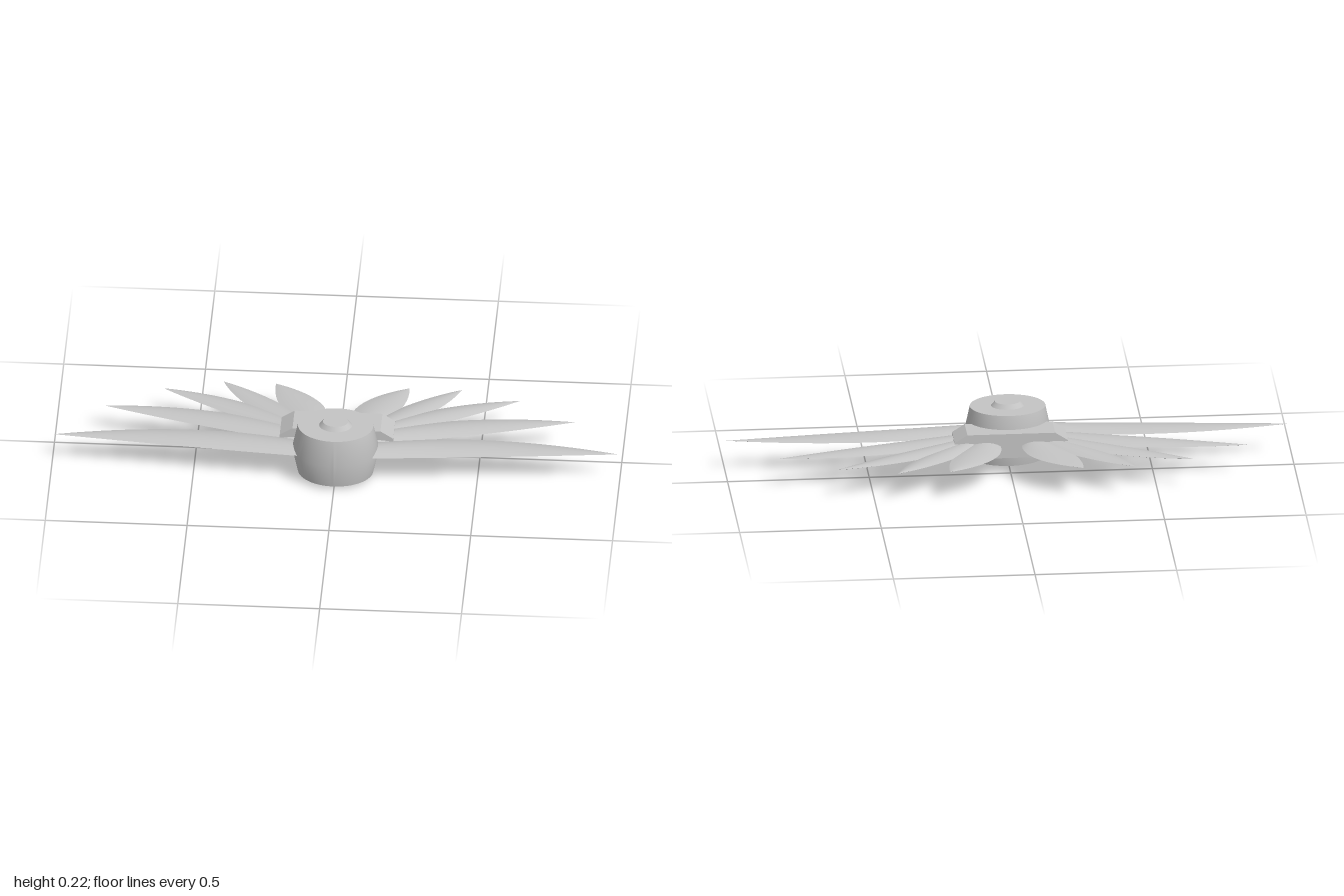
import * as THREE from 'three';

const MID_Y = 0.11;
const HUB_Z = 0.135;

// One feather: root and middle points of its inner and outer edges, and the tip, as [x, z]
const FEATHERS = [
  { inner: [[0.1, 0.1], [0.53, 0.055]], outer: [[0.1, 0.2], [0.55, 0.161]], tip: [0.995, 0.115] },
  { inner: [[0.1, 0.03], [0.45, -0.068]], outer: [[0.12, 0.115], [0.5, 0.021]], tip: [0.83, -0.08] },
  { inner: [[0.08, 0.02], [0.34, -0.13]], outer: [[0.12, 0.08], [0.41, -0.068]], tip: [0.628, -0.203] },
  { inner: [[0.08, 0.01], [0.23, -0.145]], outer: [[0.12, 0.06], [0.315, -0.1]], tip: [0.42, -0.26] },
  { inner: [[0.04, 0], [0.075, -0.15]], outer: [[0.12, 0.04], [0.213, -0.12]], tip: [0.235, -0.258] },
];

// Quadratic curve passing through its middle point
function edgeCurve([root, mid], tip) {
  const a = new THREE.Vector2(...root);
  const b = new THREE.Vector2(...tip);
  const c = new THREE.Vector2(...mid).multiplyScalar(2).addScaledVector(a, -0.5).addScaledVector(b, -0.5);
  return new THREE.QuadraticBezierCurve(a, c, b);
}

// One domed face of a feather; side is 1 for the top and -1 for the underside
function featherFace(feather, side) {
  const inner = edgeCurve(feather.inner, feather.tip);
  const outer = edgeCurve(feather.outer, feather.tip);
  const geo = new THREE.PlaneGeometry(1, 1, 24, 8);
  const pos = geo.attributes.position;
  for (let i = 0; i < pos.count; i++) {
    const t = pos.getX(i) + 0.5;
    const u = 0.5 - pos.getY(i) * side;
    const p = inner.getPoint(t).lerp(outer.getPoint(t), u);
    const dome = 0.016 * Math.pow(Math.max(0, 1 - t), 0.7) * 4 * u * (1 - u);
    pos.setXYZ(i, p.x, MID_Y + side * dome, p.y);
  }
  geo.computeVertexNormals();
  return geo;
}

export function createModel() {
  const model = new THREE.Group();
  const grey = new THREE.MeshStandardMaterial({ color: 0xc4c4c4 });
  grey.name = 'lightGrey';

  const add = (name, geo, parent = model) => {
    const mesh = new THREE.Mesh(geo, grey);
    mesh.name = name;
    parent.add(mesh);
    return mesh;
  };

  // Oval barrel hub, widest at half height
  const barrel = new THREE.CylinderGeometry(1, 1, 0.188, 64, 2);
  const pos = barrel.attributes.position;
  for (let i = 0; i < pos.count; i++) {
    if (Math.abs(pos.getY(i)) < 0.01) {
      pos.setX(i, pos.getX(i) * 1.15);
      pos.setZ(i, pos.getZ(i) * 1.17);
    }
  }
  barrel.scale(0.133, 1, 0.1075);
  barrel.computeVertexNormals();
  add('hub', barrel).position.set(0, MID_Y, HUB_Z);

  // Tapered oval bosses above and below the hub
  for (const side of [1, -1]) {
    const boss = new THREE.CylinderGeometry(0.77, 1, 0.016, 48).scale(0.058, 1, 0.046);
    if (side < 0) boss.rotateX(Math.PI);
    add(side > 0 ? 'topBoss' : 'bottomBoss', boss).position.set(0, MID_Y + side * 0.102, HUB_Z);
  }

  // Back plate with chamfered ends
  const plate = new THREE.Shape([
    [-0.155, -0.045], [0.155, -0.045], [0.2, -0.016], [0.2, 0.016],
    [0.155, 0.045], [-0.155, 0.045], [-0.2, 0.016], [-0.2, -0.016],
  ].map(([x, y]) => new THREE.Vector2(x, y)));
  add('backPlate', new THREE.ExtrudeGeometry(plate, { depth: 0.113, bevelEnabled: false }))
    .position.set(0, MID_Y, -0.022);

  // Two mirrored wings of five feathers
  for (const mirror of [1, -1]) {
    const wing = new THREE.Group();
    wing.name = mirror > 0 ? 'leftWing' : 'rightWing';
    FEATHERS.forEach((feather, i) => {
      add(`feather${i + 1}Top`, featherFace(feather, 1), wing);
      add(`feather${i + 1}Underside`, featherFace(feather, -1), wing);
    });
    wing.scale.x = mirror;
    model.add(wing);
  }

  return model;
}
